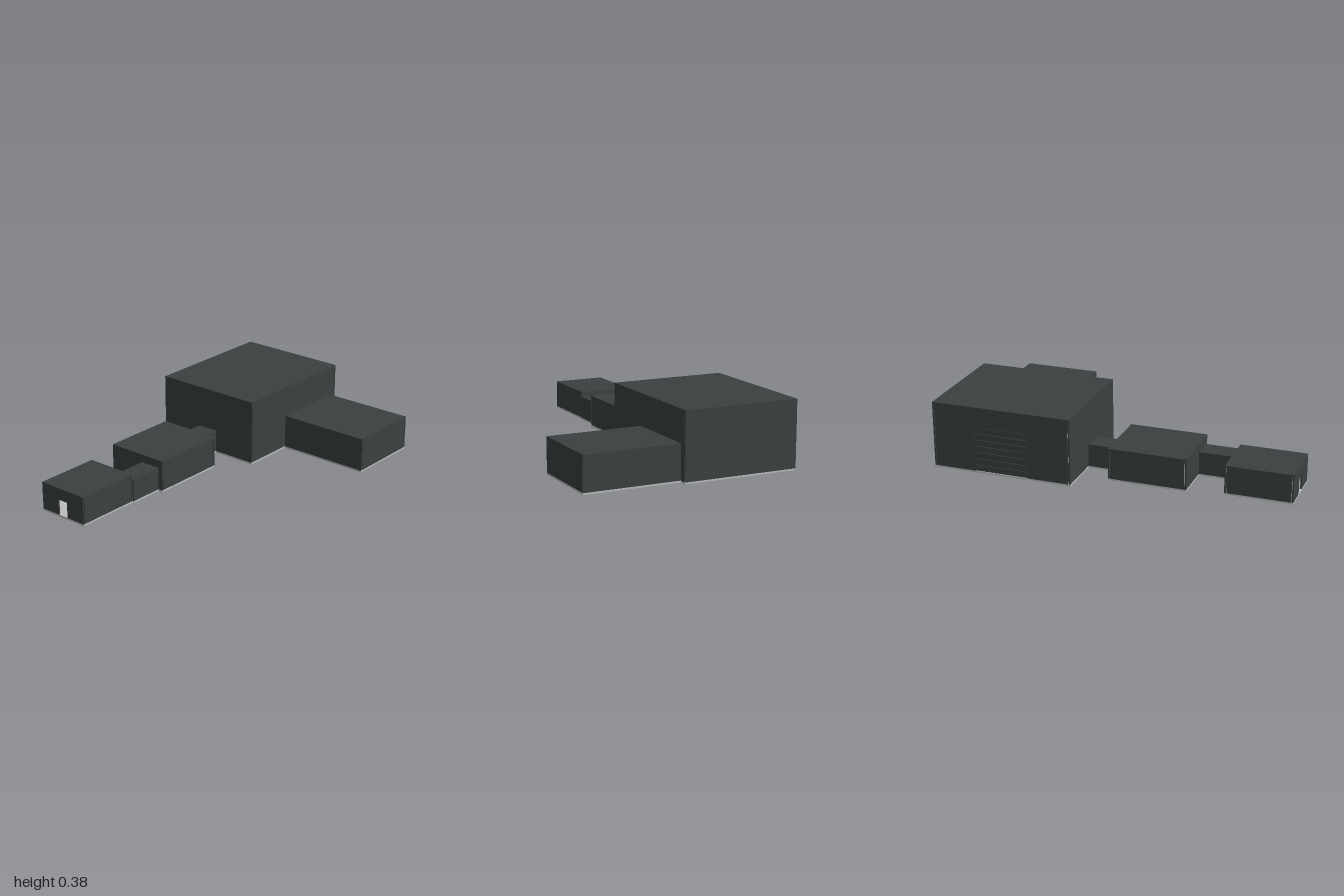
import * as THREE from 'three';

const shell = new THREE.MeshStandardMaterial({ color: 0x3a4141 });
shell.name = 'dark slate shell';
const pale = new THREE.MeshStandardMaterial({ color: 0xbebebe });
pale.name = 'pale grey floor';

const FLOOR = 0.01; // floor slab thickness
const T = 0.012; // wall thickness
const LINING = 0.004; // pale inner face of each wall

function box(name, mat, x0, x1, y0, y1, z0, z1) {
  const mesh = new THREE.Mesh(new THREE.BoxGeometry(x1 - x0, y1 - y0, z1 - z0), mat);
  mesh.position.set((x0 + x1) / 2, (y0 + y1) / 2, (z0 + z1) / 2);
  mesh.name = name;
  return mesh;
}

// Upright panel centred on x, outer face at z = front, with an optional doorway
function panel(name, mat, width, height, front, depth, door) {
  const s = new THREE.Shape();
  const w = width / 2;
  s.moveTo(-w, 0);
  if (door) {
    s.lineTo(door.u0, 0);
    s.lineTo(door.u0, door.h);
    s.lineTo(door.u1, door.h);
    s.lineTo(door.u1, 0);
  }
  s.lineTo(w, 0);
  s.lineTo(w, height);
  s.lineTo(-w, height);
  const geo = new THREE.ExtrudeGeometry(s, { depth, bevelEnabled: false });
  geo.translate(0, 0, front - depth);
  const mesh = new THREE.Mesh(geo, mat);
  mesh.name = name;
  return mesh;
}

const TURN = { front: 0, right: Math.PI / 2, back: Math.PI, left: -Math.PI / 2 };

// Hollow block: floor, roof and walls; doors maps a side to [start, end, height]
function room({ name, x, z, h, sides = ['front', 'right', 'back', 'left'], doors = {} }) {
  const g = new THREE.Group();
  g.name = name;
  const cx = (x[0] + x[1]) / 2, cz = (z[0] + z[1]) / 2;
  const w = x[1] - x[0], d = z[1] - z[0];
  g.add(box('floor', pale, x[0], x[1], 0, FLOOR, z[0], z[1]));
  g.add(box('roof', shell, x[0], x[1], h - T, h, z[0], z[1]));
  const height = h - T - FLOOR;
  for (const side of sides) {
    const alongX = side === 'front' || side === 'back';
    const trim = !alongX && sides.includes('front') ? 2 * T : 0;
    const length = (alongX ? w : d) - trim;
    let door;
    if (doors[side]) {
      const [a, b, dh] = doors[side];
      const sign = side === 'front' || side === 'left' ? 1 : -1;
      const u = [a, b].map((v) => sign * (v - (alongX ? cx : cz))).sort((p, q) => p - q);
      door = { u0: u[0], u1: u[1], h: dh };
    }
    const wall = new THREE.Group();
    wall.name = side + 'Wall';
    wall.add(panel('wallShell', shell, length, height, 0, T - LINING, door));
    wall.add(panel('wallLining', pale, length - (alongX ? 2 * T : 0), height, LINING - T, LINING, door));
    wall.rotation.y = TURN[side];
    wall.position.set(
      side === 'right' ? x[1] : side === 'left' ? x[0] : cx,
      FLOOR,
      side === 'front' ? z[1] : side === 'back' ? z[0] : cz
    );
    g.add(wall);
  }
  return g;
}

export function createModel() {
  const model = new THREE.Group();
  model.name = 'buildingComplex';

  const shutter = { z0: -0.75, z1: -0.44, h: 0.26 };
  const link = [-0.31, -0.245, 0.09], offsetLink = [-0.21, -0.145, 0.09];
  const rooms = [
    { name: 'mainHall', x: [-0.61, 0.055], z: [-1, -0.19], h: 0.385,
      doors: { front: link, right: [-0.77, -0.69, 0.1], left: [shutter.z0, shutter.z1, shutter.h] } },
    { name: 'sideHall', x: [0.055, 0.605], z: [-0.955, -0.507], h: 0.205,
      sides: ['front', 'right', 'back'] },
    { name: 'rearPassage', x: [-0.34, -0.215], z: [-0.19, -0.028], h: 0.14,
      sides: ['left', 'right'] },
    { name: 'middleRoom', x: [-0.463, -0.088], z: [-0.028, 0.42], h: 0.186,
      doors: { front: offsetLink, back: link } },
    { name: 'frontPassage', x: [-0.238, -0.116], z: [0.42, 0.622], h: 0.14,
      sides: ['left', 'right'] },
    { name: 'entranceRoom', x: [-0.43, -0.123], z: [0.622, 1], h: 0.168,
      doors: { front: [-0.31, -0.245, 0.09], back: offsetLink } },
  ];
  for (const r of rooms) model.add(room(r));

  // Slatted roller shutter closing the opening in the hall's side
  const roller = new THREE.Group();
  roller.name = 'rollerShutter';
  const slats = 7, pitch = shutter.h / slats;
  for (let i = 0; i < slats; i++) {
    const y = FLOOR + i * pitch;
    roller.add(box('slat', shell, -0.609, -0.603, y + 0.002, y + pitch - 0.002, shutter.z0, shutter.z1));
  }
  roller.add(box('shutterBacking', shell, -0.603, -0.599, FLOOR, FLOOR + shutter.h, shutter.z0, shutter.z1));
  model.add(roller);

  // Table inside the entrance room
  const table = new THREE.Group();
  table.name = 'table';
  table.add(box('tableTop', shell, -0.37, -0.245, 0.045, 0.052, 0.7, 0.76));
  for (const x of [-0.368, -0.253])
    for (const z of [0.702, 0.752])
      table.add(box('tableLeg', shell, x, x + 0.006, FLOOR, 0.045, z, z + 0.006));
  model.add(table);

  return model;
}
